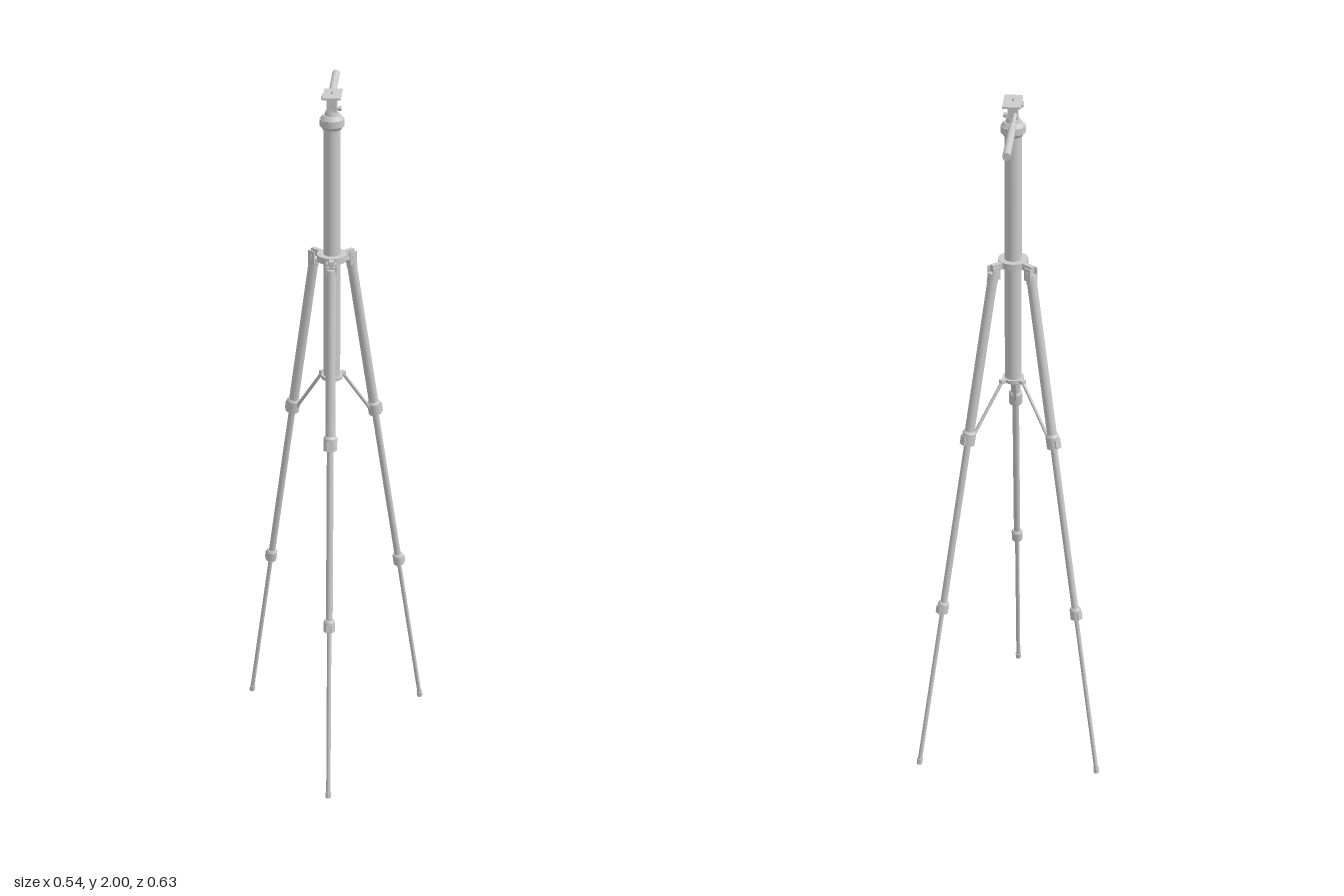
import * as THREE from 'three';

const grey = new THREE.MeshStandardMaterial({ color: 0xcccccc, side: THREE.DoubleSide });
const AXIS_X = 0.0015;
const AXIS_Z = -0.025;
const UP = new THREE.Vector3(0, 1, 0);

function add(parent, name, geometry, x = 0, y = 0, z = 0) {
  const mesh = new THREE.Mesh(geometry, grey);
  mesh.name = name;
  mesh.position.set(x, y, z);
  parent.add(mesh);
  return mesh;
}

// Cylinder running from point a to point b
function rod(parent, name, a, b, ra, rb = ra, sides = 20) {
  const dir = b.clone().sub(a);
  const mesh = add(parent, name, new THREE.CylinderGeometry(rb, ra, dir.length(), sides));
  mesh.position.copy(a).add(b).multiplyScalar(0.5);
  mesh.quaternion.setFromUnitVectors(UP, dir.normalize());
  return mesh;
}

// Solid of revolution: each section is [bottom y, top y, bottom radius, top radius]
function turned(parent, name, sections) {
  for (const [y0, y1, r0, r1] of sections)
    add(parent, name, new THREE.CylinderGeometry(r1, r0, y1 - y0, 32), 0, (y0 + y1) / 2, 0);
}

// One telescopic leg, leaning outward along local +x
function makeLeg(name, footRadius) {
  const leg = new THREE.Group();
  leg.name = name;
  const slope = 0.182;
  const at = (y) => new THREE.Vector3(footRadius - slope * y, y, 0);
  const lean = Math.atan(slope);

  rod(leg, 'upperTube', at(1.04), at(1.515), 0.0135);
  rod(leg, 'middleTube', at(0.52), at(1.04), 0.0095);
  rod(leg, 'lowerTube', at(0.01), at(0.52), 0.0062);
  rod(leg, 'foot', at(0.0015), at(0.018), 0.008, 0.0085);

  // Clamping collars with their levers
  for (const [y, r, h] of [[1.042, 0.019, 0.034], [0.517, 0.016, 0.028]]) {
    rod(leg, 'collar', at(y - h / 2), at(y + h / 2), r);
    rod(leg, 'collarLip', at(y + h / 2), at(y + h / 2 + 0.006), r, r * 0.8);
    const lever = add(leg, 'clampLever', new THREE.BoxGeometry(0.006, h * 0.8, r), 0, 0, 0);
    lever.position.copy(at(y)).x += r - 0.001;
    lever.rotation.z = lean;
  }

  // Hinge: narrow arm from the shoulder, two cheeks, pin and tube cap
  const hinge = at(1.525);
  const armEnd = hinge.x + 0.008;
  add(leg, 'hingeArm', new THREE.BoxGeometry(armEnd - 0.02, 0.018, 0.013), (armEnd + 0.02) / 2, 1.536, 0);
  for (const s of [-1, 1])
    add(leg, 'hingeCheek', new THREE.BoxGeometry(0.022, 0.036, 0.004), hinge.x, 1.522, s * 0.012);
  rod(leg, 'hingePin', new THREE.Vector3(hinge.x, 1.526, -0.016), new THREE.Vector3(hinge.x, 1.526, 0.016), 0.004);
  rod(leg, 'tubeCap', at(1.494), at(1.52), 0.0148);

  // Brace strut from the base of the column
  const inner = new THREE.Vector3(0.037, 1.182, 0);
  const outer = at(1.037);
  outer.x -= 0.012;
  rod(leg, 'braceStrut', inner, outer, 0.0046, 0.0046, 10);
  add(leg, 'braceLug', new THREE.BoxGeometry(0.026, 0.01, 0.014), 0.03, 1.183, 0);
  return leg;
}

// Column, shoulder ring and lower brace ring
function makeColumn() {
  const column = new THREE.Group();
  column.name = 'centreColumn';
  turned(column, 'columnTube', [[1.179, 1.91, 0.023, 0.023]]);
  turned(column, 'shoulderRing', [[1.528, 1.546, 0.041, 0.041]]);
  turned(column, 'braceRing', [[1.178, 1.188, 0.03, 0.03]]);
  turned(column, 'topCollar', [
    [1.898, 1.908, 0.025, 0.031], [1.908, 1.926, 0.033, 0.033], [1.926, 1.936, 0.031, 0.024],
  ]);
  return column;
}

// Pan head with plate, knobs and handle
function makeHead() {
  const head = new THREE.Group();
  head.name = 'panHead';
  turned(head, 'neck', [[1.934, 1.95, 0.02, 0.016]]);
  add(head, 'tiltBlock', new THREE.BoxGeometry(0.026, 0.038, 0.03), 0, 1.965, 0);
  add(head, 'plateMount', new THREE.BoxGeometry(0.034, 0.006, 0.044), 0, 1.986, 0);
  add(head, 'topPlate', new THREE.BoxGeometry(0.048, 0.005, 0.088), 0.001, 1.9905, -0.003);
  turned(head, 'screw', [[1.99, 2, 0.003, 0.003]]);
  add(head, 'plateLatch', new THREE.BoxGeometry(0.007, 0.007, 0.028), -0.024, 1.985, -0.002);
  const v = (x, y, z) => new THREE.Vector3(x, y, z);
  rod(head, 'tiltKnobShaft', v(0, 1.954, 0), v(0.02, 1.954, 0), 0.004);
  rod(head, 'tiltKnob', v(0.017, 1.954, 0), v(0.025, 1.954, 0), 0.007);
  rod(head, 'handleRod', v(-0.006, 1.96, 0), v(-0.006, 1.96, -0.095), 0.0055);
  rod(head, 'handleGrip', v(-0.006, 1.96, -0.091), v(-0.006, 1.96, -0.292), 0.0095, 0.0105);
  return head;
}

export function createModel() {
  const tripod = new THREE.Group();
  tripod.name = 'tripod';
  tripod.add(makeColumn(), makeHead());
  const legs = [['leftLeg', 40.3, 0.341], ['rightLeg', 139.7, 0.343], ['frontLeg', -88.4, 0.333]];
  for (const [name, degrees, footRadius] of legs) {
    const leg = makeLeg(name, footRadius);
    leg.rotation.y = THREE.MathUtils.degToRad(degrees);
    tripod.add(leg);
  }
  tripod.position.set(AXIS_X, 0, AXIS_Z);
  const model = new THREE.Group();
  model.name = 'tripodModel';
  model.add(tripod);
  return model;
}
